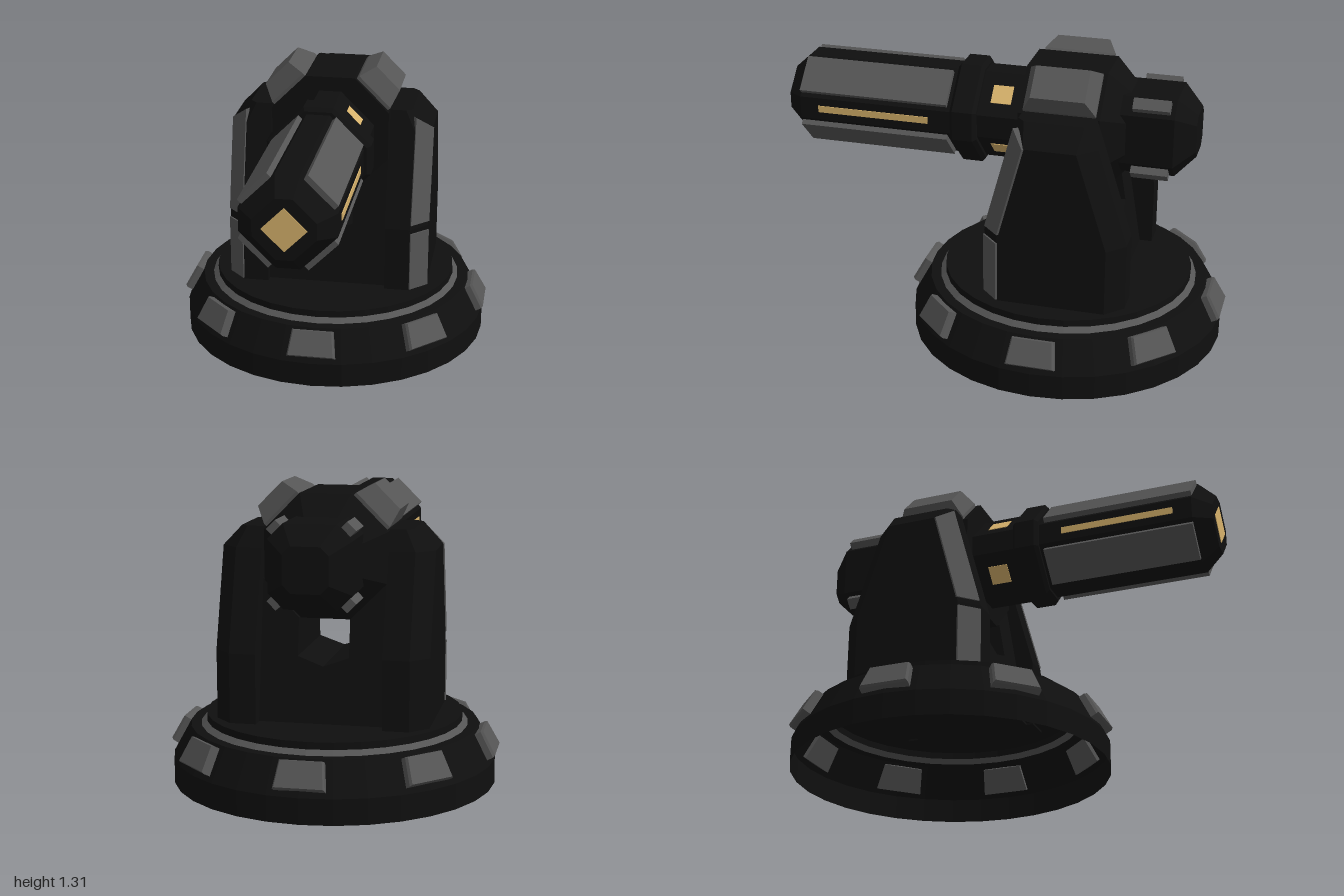
import * as THREE from 'three';

const mat = (color) => new THREE.MeshStandardMaterial({ color, flatShading: true, side: THREE.DoubleSide });
const V = (x, y, z) => new THREE.Vector3(x, y, z);

// Skin a closed, capped solid over rings of equal point count
function loft(rings) {
  const n = rings[0].length, pos = [];
  const tri = (a, b, c) => pos.push(...a.toArray(), ...b.toArray(), ...c.toArray());
  for (let i = 0; i < rings.length - 1; i++) {
    for (let j = 0; j < n; j++) {
      const k = (j + 1) % n, [p, q] = [rings[i], rings[i + 1]];
      tri(p[j], p[k], q[k]);
      tri(p[j], q[k], q[j]);
    }
  }
  const [first, last] = [rings[0], rings[rings.length - 1]];
  for (let j = 1; j < n - 1; j++) {
    tri(first[0], first[j + 1], first[j]);
    tri(last[0], last[j], last[j + 1]);
  }
  const g = new THREE.BufferGeometry();
  g.setAttribute('position', new THREE.Float32BufferAttribute(pos, 3));
  g.computeVertexNormals();
  return g;
}

// Mirror rings across x while keeping the winding outward
const sided = (rings, s) => (s > 0 ? rings : rings.map((r) => r.map((p) => V(-p.x, p.y, p.z)).reverse()));

// Octagon with half width a and half flat length c
const oct = (z, a, c = a * 0.414) =>
  [[a, -c], [a, c], [c, a], [-c, a], [-a, c], [-a, -c], [-c, -a], [c, -a]].map(([x, y]) => V(x, y, z));
const rect = (z, w, h) => [[1, -1], [1, 1], [-1, 1], [-1, -1]].map(([x, y]) => V(x * w / 2, y * h / 2, z));

export function createModel() {
  const model = new THREE.Group();
  const dark = mat(0x0f0f0f), grey = mat(0x555555), gold = mat(0xd8b36c);
  const add = (parent, name, geo, material) => {
    const m = new THREE.Mesh(geo, material);
    m.name = name;
    parent.add(m);
    return m;
  };

  // Round base: open-bottomed skirt, trim ring and turntable
  const base = new THREE.Group();
  base.name = 'base';
  base.position.z = -0.272;
  model.add(base);
  const lathe = (name, pts, m) =>
    add(base, name, new THREE.LatheGeometry(pts.map(([x, y]) => new THREE.Vector2(x, y)), 32), m);
  lathe('baseSkirt', [[0.707, 0], [0.707, 0.11], [0.63, 0.25], [0.585, 0.25]], dark);
  lathe('trimRing', [[0.585, 0.25], [0.562, 0.27]], grey);
  lathe('turntable', [[0.562, 0.27], [0.56, 0.3], [0, 0.3]], dark);

  // Eight tapered plates leaning on the skirt
  const plateRing = (z, s) => [[0.108, -0.06], [0.092, 0.06], [-0.092, 0.06], [-0.108, -0.06]]
    .map(([x, y]) => V(x * s, y * s, z));
  const plateGeo = loft([plateRing(-0.03, 1), plateRing(0.015, 1), plateRing(0.026, 0.93)])
    .rotateX(-0.5).translate(0, 0.19, 0.668);
  for (let i = 0; i < 8; i++) add(base, 'basePlate', plateGeo, grey).rotation.y = i * Math.PI / 4;

  // Side arms, each with two grey strips on the front outer corner
  const armRing = (y, zf, zb, xo, c) => [
    [0.27, zf], [xo - c, zf], [xo, zf - c], [xo, zb + c], [xo - c, zb], [0.27, zb],
  ].map(([x, z]) => V(x, y, z));
  const strip = (y0, y1, y2, zA, zB, zC) => {
    const ring = (ya, yb, za, zb) => [V(0.375, ya, za - 0.02), V(0.388, ya, za), V(0.463, yb, zb), V(0.45, yb, zb - 0.02)];
    return [ring(y0, y0, zA, zA - 0.075), ring(y1, y2, zB, zC)];
  };
  for (const s of [1, -1]) {
    const arm = new THREE.Group();
    arm.name = s > 0 ? 'leftArm' : 'rightArm';
    model.add(arm);
    add(arm, 'armBody', loft(sided([
      armRing(0.29, 0.016, -0.61, 0.458, 0.075),
      armRing(0.6, 0.016, -0.61, 0.458, 0.075),
      armRing(1.03, -0.1, -0.475, 0.458, 0.075),
      armRing(1.12, -0.124, -0.445, 0.37, 0.03),
    ], s)), dark);
    add(arm, 'lowerStrip', loft(sided(strip(0.305, 0.58, 0.58, 0.021, 0.021, -0.054), s)), grey);
    add(arm, 'upperStrip', loft(sided(strip(0.62, 1.09, 1.03, 0.015, -0.112, -0.17), s)), grey);
  }

  // Saddle between the arms, narrowing toward the top
  const half = [[0.27, 0.29], [0.27, 0.9], [0.11, 0.74], [0.11, 0.58]];
  const outline = [...half, [0, 0.54], ...half.slice().reverse().map(([x, y]) => [-x, y])];
  const saddleGeo = new THREE.ExtrudeGeometry(
    new THREE.Shape(outline.map(([x, y]) => new THREE.Vector2(x, y))), { depth: 1, bevelEnabled: false });
  const sp = saddleGeo.attributes.position;
  for (let i = 0; i < sp.count; i++) {
    const depth = THREE.MathUtils.mapLinear(sp.getY(i), 0.29, 0.9, 0.54, 0.34);
    sp.setZ(i, -0.285 + (sp.getZ(i) - 0.5) * depth);
  }
  saddleGeo.computeVertexNormals();
  add(model, 'saddle', saddleGeo, dark);

  // Gun: all parts share one axis along z
  const gun = new THREE.Group();
  gun.name = 'gun';
  gun.position.y = 1;
  model.add(gun);
  add(gun, 'rearDrum', loft([oct(-0.84, 0.095, 0.06), oct(-0.755, 0.175, 0.11), oct(-0.5, 0.175, 0.11)]), dark);
  add(gun, 'housing', loft([oct(-0.56, 0.165), oct(-0.455, 0.265), oct(-0.1, 0.265)]), dark);
  add(gun, 'neck', loft([oct(-0.15, 0.2, 0.05), oct(0.12, 0.2, 0.05)]), dark);
  add(gun, 'collar', loft([
    oct(0.1, 0.21, 0.06), oct(0.115, 0.228, 0.065), oct(0.205, 0.228, 0.065), oct(0.22, 0.21, 0.06),
  ]), dark);
  add(gun, 'barrel', loft([oct(0.2, 0.198, 0.05), oct(0.92, 0.198, 0.05), oct(0.997, 0.128, 0.035)]), dark);
  add(gun, 'muzzle', new THREE.BoxGeometry(0.13, 0.13, 0.02).rotateZ(Math.PI / 4), gold).position.z = 0.99;

  // Pieces repeated on the four diagonal faces
  const diagonal = (name, [t, w, len], r, z, m) => {
    for (let i = 0; i < 4; i++) {
      const a = Math.PI / 4 + i * Math.PI / 2;
      const piece = add(gun, name, new THREE.BoxGeometry(t, w, len), m);
      piece.position.set(r * Math.cos(a), r * Math.sin(a), z);
      piece.rotation.z = a;
    }
  };
  diagonal('barrelPanel', [0.03, 0.168, 0.68], 0.184, 0.58, grey);
  diagonal('neckLight', [0.02, 0.085, 0.09], 0.17, 0.005, gold);
  diagonal('drumLug', [0.05, 0.052, 0.16], 0.21, -0.655, grey);

  // Side lights and tapered shoulder blocks
  const blockGeo = loft([rect(0.24, 0.315, 0.2), rect(0.28, 0.315, 0.2), rect(0.357, 0.235, 0.15)]).rotateY(Math.PI / 2);
  for (const s of [1, -1]) {
    add(gun, 'barrelLight', new THREE.BoxGeometry(0.02, 0.03, 0.51), gold).position.set(s * 0.192, 0, 0.58);
    const block = add(gun, 'shoulderBlock', blockGeo, grey);
    block.position.z = -0.28;
    block.rotation.z = Math.PI / 2 - s * Math.PI / 4;
  }
  return model;
}
